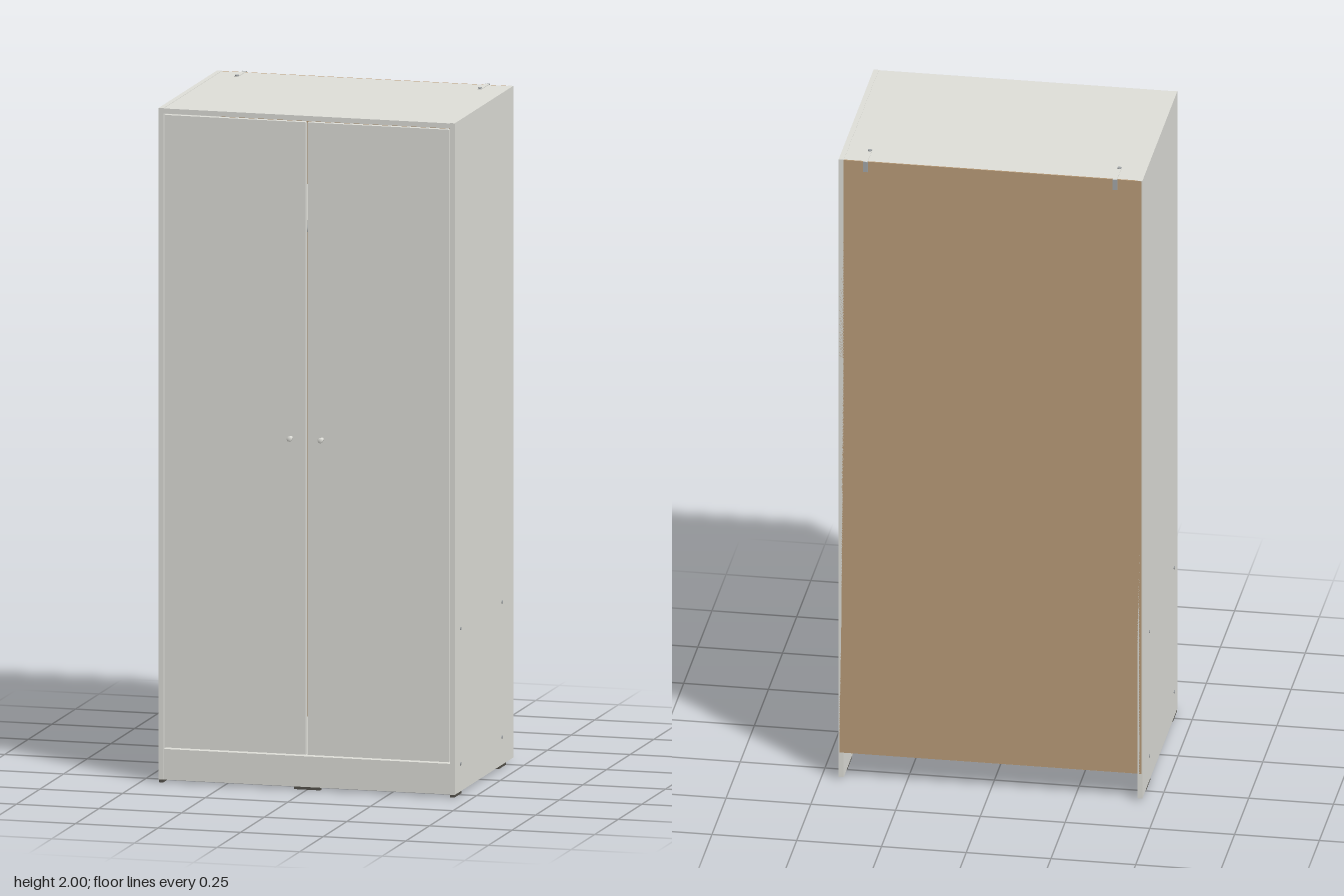
import * as THREE from 'three';

export function createModel() {
  const model = new THREE.Group();
  model.name = 'wardrobe';
  const mat = (name, color) => {
    const m = new THREE.MeshStandardMaterial({ color });
    m.name = name;
    return m;
  };
  const white = mat('white board', 0xe0e0da);
  const brown = mat('brown hardboard', 0xbc9e7a);
  const metal = mat('grey metal', 0xa4a8aa);
  const dark = mat('dark plastic', 0x55524c);

  const add = (name, geometry, material, x, y, z) => {
    const mesh = new THREE.Mesh(geometry, material);
    mesh.name = name;
    mesh.position.set(x, y, z);
    model.add(mesh);
    return mesh;
  };
  // Box given by its minimum and maximum on each axis
  const box = (name, material, [x0, x1], [y0, y1], [z0, z1]) =>
    add(name, new THREE.BoxGeometry(x1 - x0, y1 - y0, z1 - z0), material,
      (x0 + x1) / 2, (y0 + y1) / 2, (z0 + z1) / 2);
  // Range mirrored to the chosen side
  const mirror = (s, a, b) => (s > 0 ? [a, b] : [-b, -a]);

  const W = 0.448, IN = 0.433, BASE = 0.008, TOP = 1.996;
  const BACK = -0.32, FRONT = 0.3;

  // Carcass
  box('topPanel', white, [-IN, IN], [1.98, TOP - 0.001], [BACK + 0.004, FRONT]);
  box('bottomPanel', white, [-IN, IN], [0.085, 0.099], [BACK + 0.004, FRONT - 0.002]);
  box('backPanel', brown, [-W + 0.003, W - 0.003], [0.087, TOP - 0.001], [BACK, BACK + 0.005]);
  box('plinth', white, [-IN, IN], [BASE, 0.085], [FRONT - 0.018, FRONT - 0.003]);
  box('rearPlinth', white, [-IN, IN], [BASE, 0.085], [-0.105, -0.09]);
  box('upperShelf', white, [-IN, IN], [1.66, 1.675], [BACK + 0.005, 0.24]);

  // Hanging rail
  add('hangingRail', new THREE.CylinderGeometry(0.01, 0.01, IN * 2, 16), metal, 0, 1.6, -0.02)
    .rotation.z = Math.PI / 2;

  // Glides under the two plinths
  box('plinthGlide', dark, [-0.04, 0.04], [0, BASE], [FRONT - 0.018, FRONT - 0.003]);
  box('rearPlinthGlide', dark, [-0.04, 0.04], [0, BASE], [-0.105, -0.09]);

  const screwHead = new THREE.CylinderGeometry(0.005, 0.005, 0.004, 12);
  for (const s of [1, -1]) {
    box('sidePanel', white, mirror(s, IN, W), [BASE, TOP], [BACK, FRONT]);
    for (const z of [[0.225, FRONT], [-0.245, -0.17]]) {
      box('sideGlide', dark, mirror(s, IN + 0.001, W - 0.001), [0, BASE], z);
    }

    // Inset door and its knob
    box('door', white, mirror(s, 0.003, 0.43), [0.104, 1.976], [FRONT - 0.016, FRONT]);
    const knob = new THREE.LatheGeometry(
      [[0, 0], [0.006, 0], [0.006, 0.006], [0.008, 0.022], [0.007, 0.025], [0, 0.025]]
        .map(([r, h]) => new THREE.Vector2(r, h)), 20);
    add('knob', knob, white, s * 0.047, 1.04, FRONT).rotation.x = Math.PI / 2;

    // Hinges behind the outer door edge
    for (const y of [0.18, 1.04, 1.89]) {
      box('hinge', metal, mirror(s, 0.395, IN), [y - 0.025, y + 0.025], [0.24, FRONT - 0.016]);
    }

    // Screw heads on the outer face
    for (const [y, z] of [[0.49, 0.24], [0.49, -0.2], [0.09, 0.24], [0.09, -0.2]]) {
      add('sideScrew', screwHead, metal, s * W, y, z).rotation.z = Math.PI / 2;
    }

    // Wall anchor: strap on the top, folded down behind the back
    const x = s * 0.368;
    box('anchorStrap', white, [x - 0.006, x + 0.006], [TOP - 0.002, TOP + 0.001], [-0.325, -0.24]);
    box('anchorTab', metal, [x - 0.007, x + 0.007], [1.965, TOP + 0.001], [-0.328, -0.32]);
    add('anchorScrew', new THREE.CylinderGeometry(0.006, 0.006, 0.005, 12), metal, x, 1.9975, -0.248);
  }
  return model;
}
